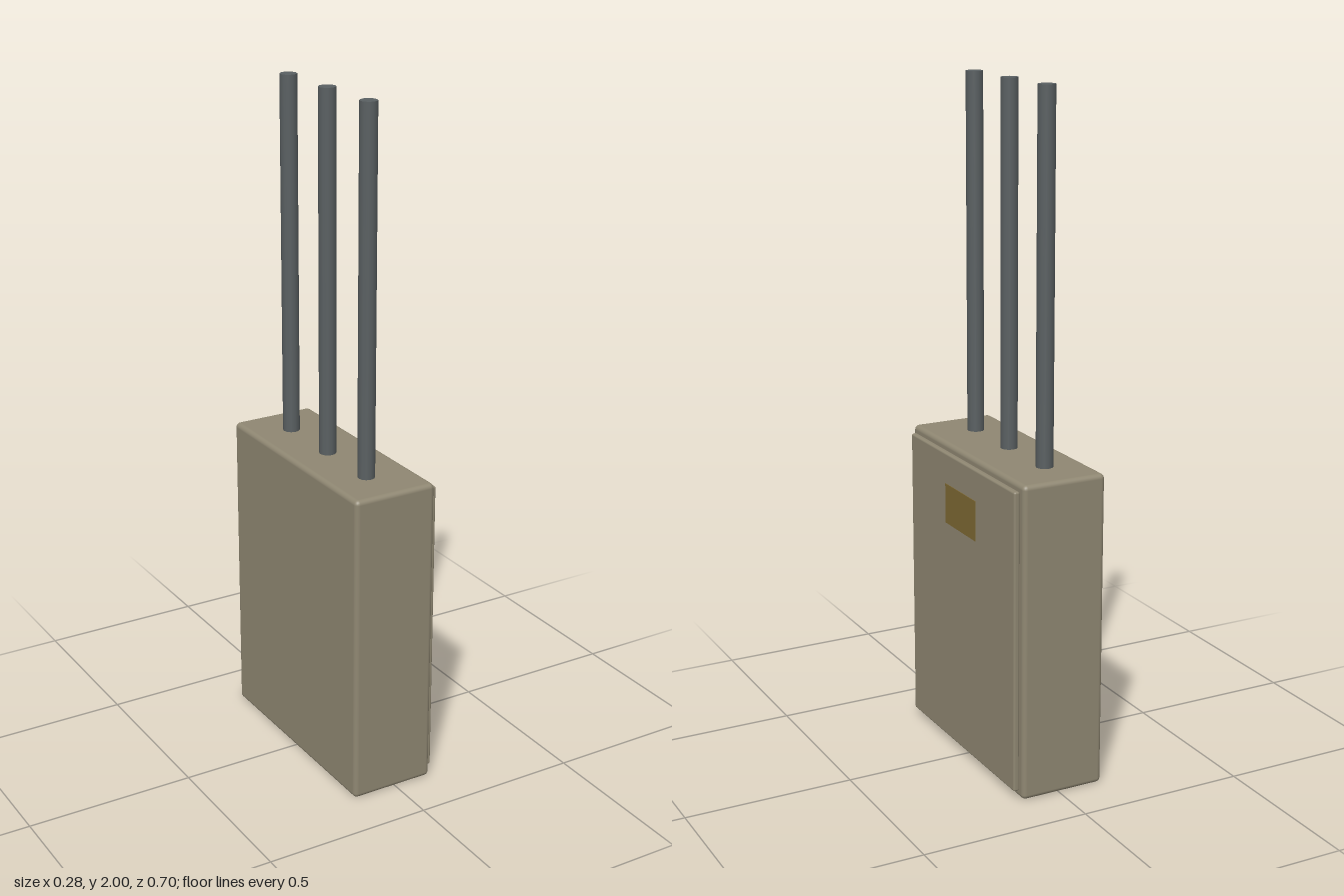
import * as THREE from 'three';
import { RoundedBoxGeometry } from 'three/addons/geometries/RoundedBoxGeometry.js';

const material = (name, color) => {
  const m = new THREE.MeshStandardMaterial({ color });
  m.name = name;
  return m;
};

export function createModel() {
  const group = new THREE.Group();
  group.name = 'electricalCabinet';

  const casing = material('casing beige', 0x8f8772);
  const plate = material('label ochre', 0x7d6833);
  const steel = material('conduit grey', 0x5a6062);

  const add = (name, geometry, mat, x, y, z) => {
    const mesh = new THREE.Mesh(geometry, mat);
    mesh.name = name;
    mesh.position.set(x, y, z);
    group.add(mesh);
  };

  // Cabinet box with softened edges
  add('cabinet', new RoundedBoxGeometry(0.257, 0.936, 0.702, 3, 0.014), casing, -0.0105, 0.472, 0);

  // Raised door panel on the left side
  add('door', new RoundedBoxGeometry(0.018, 0.894, 0.658, 3, 0.006), casing, 0.127, 0.473, 0);

  // Thin label on the door
  add('label', new THREE.BoxGeometry(0.004, 0.12, 0.19), plate, 0.136, 0.768, 0);

  // Three conduits rising from the top
  const bottom = 0.92;
  for (const z of [-0.212, 0, 0.212]) {
    add('conduit', new THREE.CylinderGeometry(0.025, 0.025, 2 - bottom, 12), steel, -0.022, (2 + bottom) / 2, z);
  }

  return group;
}
